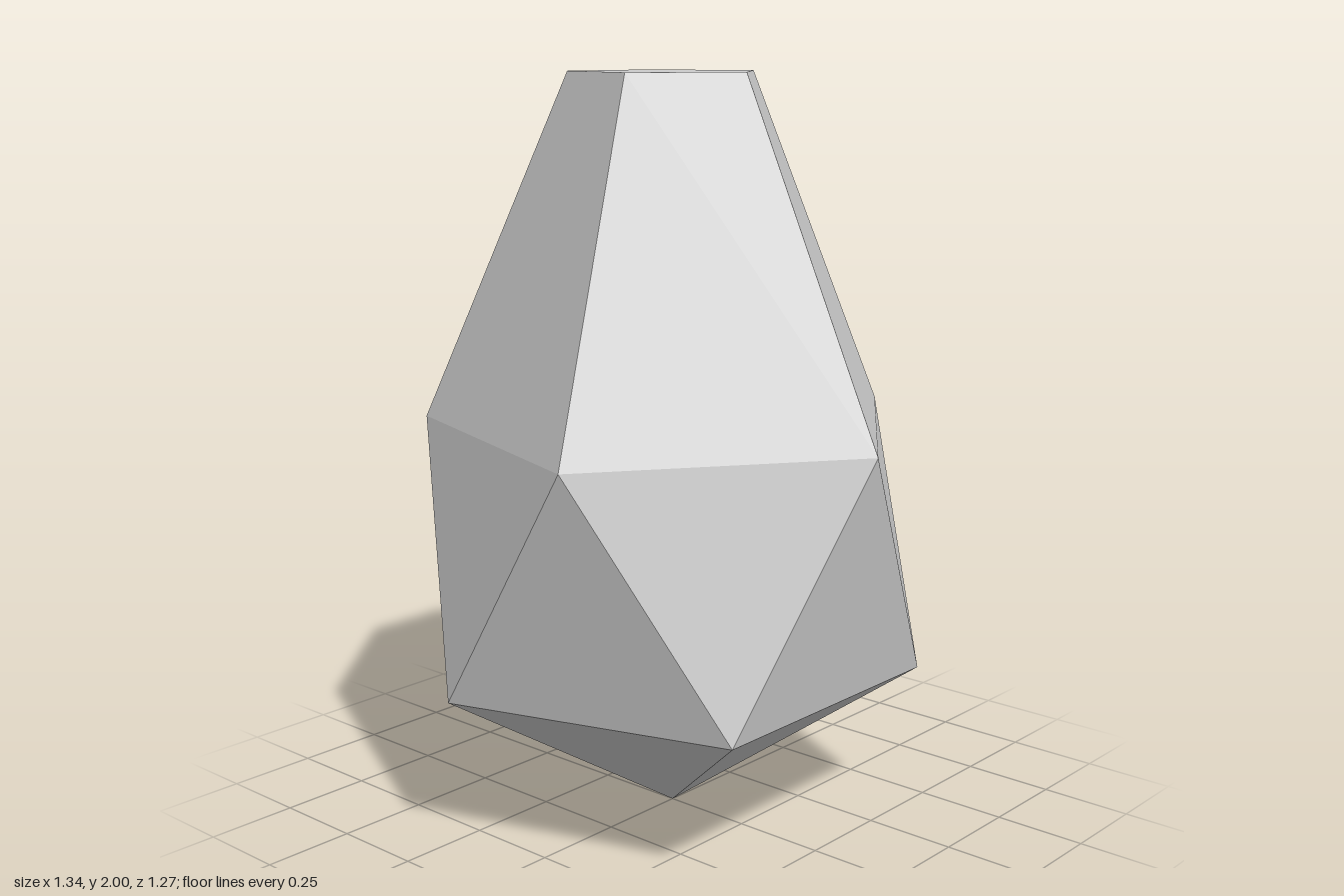
import * as THREE from 'three';

// Five-sided ring of points around a vertical axis
function ring(radius, y, turn, cx = 0, cz = 0) {
  return Array.from({ length: 5 }, (_, i) => {
    const a = ((i + turn) * Math.PI * 2) / 5;
    return new THREE.Vector3(cx + radius * Math.cos(a), y, cz + radius * Math.sin(a));
  });
}

export function createModel() {
  const group = new THREE.Group();
  group.name = 'crystal';

  const tip = new THREE.Vector3(0, 0.005, 0);
  const lower = ring(0.668, 0.417, 0.5);
  const upper = ring(0.668, 1.087, 0);
  const top = ring(0.26, 2, 0, -0.005, 0.012);

  const faces = [];
  for (let i = 0; i < 5; i++) {
    const j = (i + 1) % 5;
    // Pointed base
    faces.push(tip, lower[i], lower[j]);
    // Zigzag belt
    faces.push(lower[i], upper[i], upper[j]);
    faces.push(upper[j], lower[j], lower[i]);
    // Tapering upper facets
    faces.push(upper[i], top[i], top[j]);
    faces.push(upper[i], top[j], upper[j]);
  }
  // Flat pentagonal cap
  for (let i = 1; i < 4; i++) faces.push(top[0], top[i + 1], top[i]);

  const geometry = new THREE.BufferGeometry().setFromPoints(faces);
  geometry.computeVertexNormals();
  const material = new THREE.MeshStandardMaterial({ color: 0xcccccc, flatShading: true });
  const body = new THREE.Mesh(geometry, material);
  body.name = 'facetedBody';
  group.add(body);
  return group;
}
